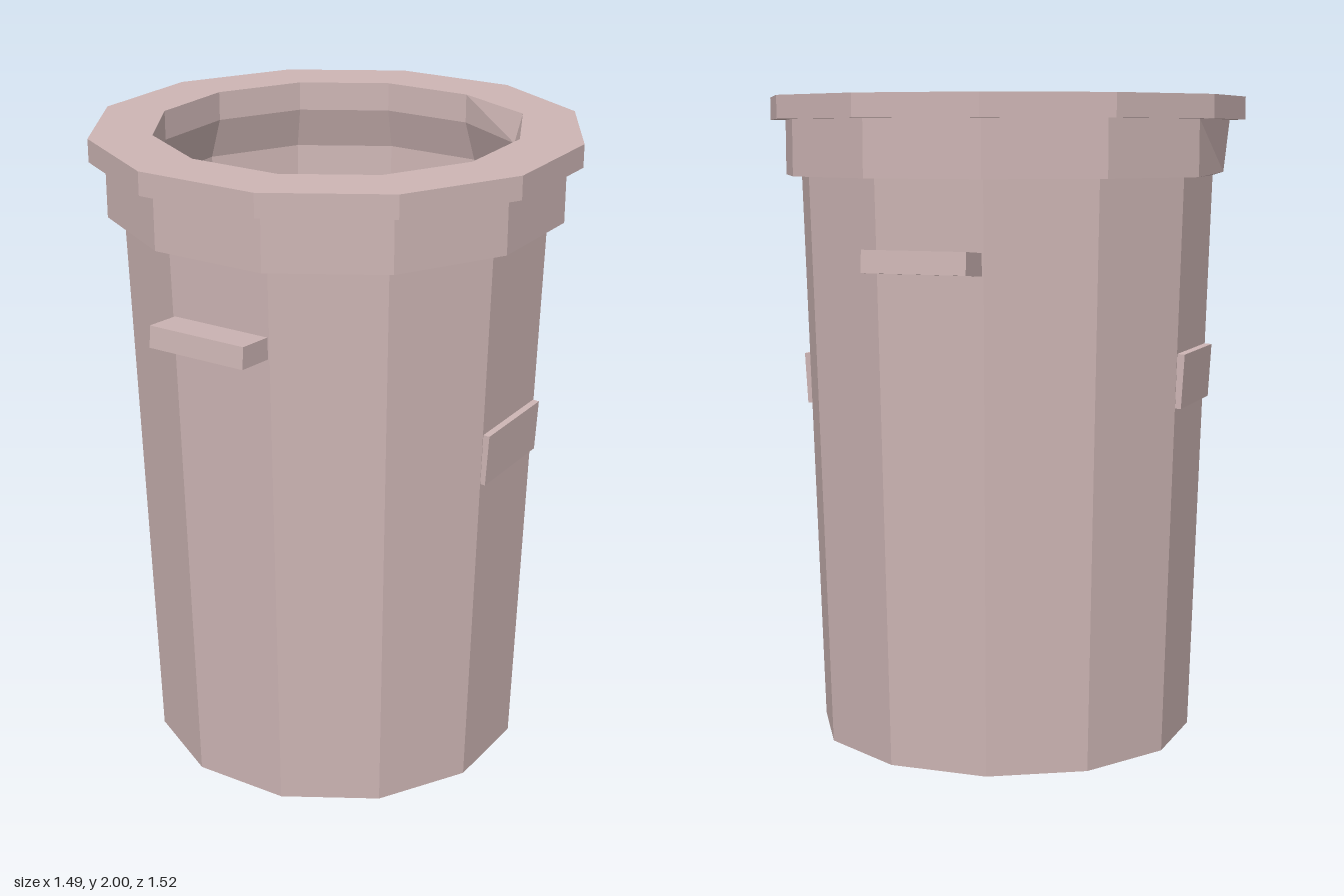
import * as THREE from 'three';

export function createModel() {
  const model = new THREE.Group();
  const clay = new THREE.MeshStandardMaterial({ color: 0xcdb5b4 });
  clay.name = 'dustyPink';
  clay.flatShading = true;

  // Hollow twelve-sided bin: outer wall, collar, rim, inner lip, inner wall, floor
  const profile = [
    [0, 0], [0.592, 0], [0.647, 1.76], [0.697, 1.76], [0.697, 1.93], [0.745, 1.93], [0.745, 2],
    [0.555, 2], [0.555, 1.91], [0.6, 1.78], [0.535, 0.05], [0, 0.05],
  ].map(([r, y]) => new THREE.Vector2(r, y));
  const shell = new THREE.LatheGeometry(profile, 12);

  // Small knocks: one rim corner bent outward, one collar corner bent inward
  const pos = shell.attributes.position;
  const dent = (x, y, z, toX, toY, toZ) => {
    for (let i = 0; i < pos.count; i++) {
      if (Math.hypot(pos.getX(i) - x, pos.getY(i) - y, pos.getZ(i) - z) < 0.01) pos.setXYZ(i, toX, toY, toZ);
    }
  };
  dent(0.481, 2, -0.2775, 0.5, 2, -0.295);
  dent(-0.697, 1.76, 0, -0.68, 1.77, 0);

  const flat = shell.toNonIndexed();
  flat.computeVertexNormals();
  const bin = new THREE.Mesh(flat, clay);
  bin.name = 'binBody';
  model.add(bin);

  // Block fixed to the middle of a facet; angle is measured from +z towards +x
  function addBlock(name, angle, distance, y, size, tilt) {
    const pivot = new THREE.Group();
    pivot.name = name;
    pivot.rotation.y = THREE.MathUtils.degToRad(angle);
    const mesh = new THREE.Mesh(new THREE.BoxGeometry(...size), clay);
    mesh.name = name + 'Block';
    mesh.position.set(0, y, distance);
    mesh.rotation.x = tilt;
    pivot.add(mesh);
    model.add(pivot);
  }

  // Handles front and back, tipped slightly upward
  addBlock('frontHandle', -15, 0.668, 1.523, [0.32, 0.066, 0.142], -0.08);
  addBlock('backHandle', 165, 0.668, 1.523, [0.32, 0.066, 0.142], -0.08);

  // Plates on the sides, lying along the sloping wall
  addBlock('leftPlate', 75, 0.608, 1.11, [0.32, 0.16, 0.03], 0.06);
  addBlock('rightPlate', 255, 0.612, 1.152, [0.32, 0.165, 0.03], 0.06);

  return model;
}
